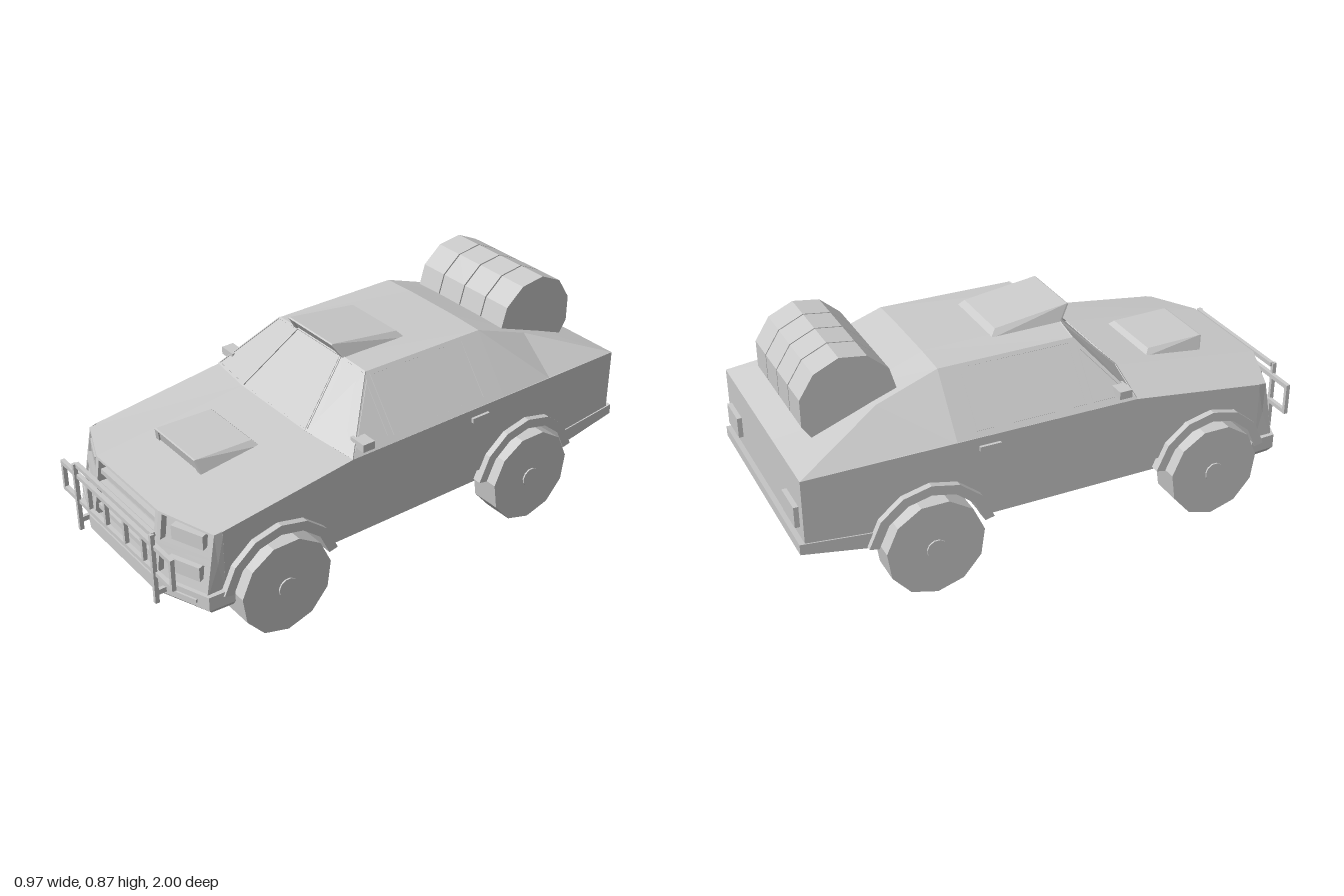
import * as THREE from 'three';
import { ConvexGeometry } from 'three/addons/geometries/ConvexGeometry.js';

const mat = new THREE.MeshStandardMaterial({ color: 0xcccccc, flatShading: true, side: THREE.DoubleSide });
const V = (p) => new THREE.Vector3(...p);

export function createModel() {
  const car = new THREE.Group();
  car.name = 'offRoadPickup';

  const add = (name, geo) => {
    const m = new THREE.Mesh(geo, mat);
    m.name = name;
    car.add(m);
    return m;
  };
  // Box given by its limits on each axis
  const box = (name, x0, x1, y0, y1, z0, z1) =>
    add(name, new THREE.BoxGeometry(Math.abs(x1 - x0), y1 - y0, z1 - z0)
      .translate((x0 + x1) / 2, (y0 + y1) / 2, (z0 + z1) / 2));
  // Side profile [z, y] extruded across x
  const slab = (name, pts, x0, x1) => {
    const shape = new THREE.Shape(pts.map((p) => new THREE.Vector2(...p)));
    const g = new THREE.ExtrudeGeometry(shape, { depth: x1 - x0, bevelEnabled: false });
    return add(name, g.rotateY(-Math.PI / 2).translate(x1, 0, 0));
  };
  // Cylinder lying along x
  const roller = (name, r, x0, x1, y, z, sides, spin) =>
    add(name, new THREE.CylinderGeometry(r, r, x1 - x0, sides).rotateZ(Math.PI / 2).rotateX(spin)
      .translate((x0 + x1) / 2, y, z));
  const fromTris = (tris) => {
    const g = new THREE.BufferGeometry().setFromPoints(tris);
    g.computeVertexNormals();
    return g;
  };
  const mirror = (pts, s) => (s > 0 ? pts : pts.map(([x, y, z]) => [-x, y, z]).reverse());
  // Framed panel: counter-clockwise corners, raised by lift, centre sunk by depth
  const panel = (name, pts, inset, lift, depth) => {
    const c = pts.map(V);
    const n = new THREE.Vector3().crossVectors(c[1].clone().sub(c[0]), c[2].clone().sub(c[0])).normalize();
    const mid = c.reduce((a, p) => a.add(p), new THREE.Vector3()).divideScalar(c.length).addScaledVector(n, lift);
    const outer = c.map((p) => p.clone().addScaledVector(n, lift));
    const inner = outer.map((p) => p.clone().lerp(mid, inset));
    const sunk = inner.map((p) => p.clone().addScaledVector(n, -depth));
    const floor = mid.clone().addScaledVector(n, -depth);
    const tris = [];
    const rings = [c, outer, inner, sunk];
    c.forEach((_, i) => {
      const j = (i + 1) % c.length;
      for (let r = 0; r < 3; r++) {
        const [a, b] = [rings[r], rings[r + 1]];
        tris.push(a[i], a[j], b[j], a[i], b[j], b[i]);
      }
      tris.push(sunk[i], sunk[j], floor);
    });
    return add(name, fromTris(tris));
  };

  // Lower body with the wheel arches cut out
  const wheelZ = [0.6, -0.53];
  const arc = (zc, r, n = 7) => Array.from({ length: n }, (_, i) => {
    const a = THREE.MathUtils.degToRad(12 + (156 * i) / (n - 1));
    return [zc + r * Math.cos(a), 0.18 + r * Math.sin(a)];
  });
  slab('lowerBody', [
    [-0.98, 0.55], [0.28, 0.545], [0.815, 0.474], [0.815, 0.222],
    ...arc(wheelZ[0], 0.205), [0.39, 0.27], [-0.32, 0.27],
    ...arc(wheelZ[1], 0.205), [-0.98, 0.27],
  ], -0.425, 0.425);
  box('sill', -0.415, 0.415, 0.22, 0.27, -0.31, 0.385);
  slab('rearBumper', [[-0.74, 0.22], [-1, 0.27], [-1, 0.31], [-0.74, 0.28]], -0.43, 0.43);

  // Hood, cabin and sloping deck: rows of belt, shoulder and crown points
  const rows = [
    [[0.42, 0.47, 0.845], [0.42, 0.47, 0.845], [0.21, 0.487, 0.93]],
    [[0.425, 0.545, 0.28], [0.425, 0.545, 0.28], [0.2, 0.565, 0.32]],
    [[0.425, 0.545, 0.1], [0.26, 0.757, 0.1], [0.13, 0.77, 0.11]],
    [[0.425, 0.545, -0.42], [0.265, 0.757, -0.42], [0.13, 0.762, -0.42]],
    [[0.425, 0.545, -0.65], [0.27, 0.675, -0.65], [0.13, 0.678, -0.65]],
    [[0.425, 0.55, -0.98], [0.425, 0.55, -0.98], [0.13, 0.55, -0.98]],
  ].map((h) => [...h, ...mirror(h, -1)].map(V));
  const skin = [];
  for (let r = 0; r < rows.length - 1; r++) {
    for (let i = 0; i < 5; i++) {
      const [a, b, c, d] = [rows[r][i], rows[r][i + 1], rows[r + 1][i + 1], rows[r + 1][i]];
      for (const t of [[a, d, b], [b, d, c]]) {
        if (new THREE.Triangle(...t).getArea() > 1e-6) skin.push(t[0], t[2], t[1]);
      }
    }
  }
  add('upperBody', fromTris(skin));

  // Windscreen and side glass
  const onSide = (z, y) => [0.425 - (0.165 * (y - 0.545)) / 0.212, y, z];
  panel('windscreen', [[-0.2, 0.565, 0.32], [0.2, 0.565, 0.32], [0.13, 0.77, 0.11], [-0.13, 0.77, 0.11]], 0.04, 0.005, 0.004);
  for (const s of [1, -1]) {
    panel('windscreenSide', mirror([[0.2, 0.565, 0.32], [0.425, 0.545, 0.28], [0.26, 0.757, 0.1], [0.13, 0.77, 0.11]], s), 0.06, 0.004, 0.003);
    panel('sideWindow', mirror([onSide(0.09, 0.565), onSide(-0.34, 0.565), onSide(-0.34, 0.748), onSide(0.09, 0.748)], s), 0.05, 0.004, 0.003);
    panel('quarterWindow', mirror([onSide(0.26, 0.565), onSide(0.11, 0.565), onSide(0.11, 0.735)], s), 0.12, 0.004, 0.003);
    box('mirror', s * 0.37, s * 0.443, 0.57, 0.6, 0.2, 0.25);
    box('doorHandle', s * 0.42, s * 0.436, 0.497, 0.515, -0.34, -0.26);
    box('tailLight', s * 0.26, s * 0.385, 0.35, 0.43, -0.998, -0.975);
  }

  // Nose: sunk grille, paired lamp recesses and cheeks
  panel('grilleFrame', [[-0.215, 0.25, 0.965], [0.215, 0.25, 0.965], [0.21, 0.487, 0.93], [-0.21, 0.487, 0.93]], 0.08, 0, 0.035);
  for (const [y, h] of [[0.29, 0.02], [0.33, 0.02], [0.38, 0.02], [0.43, 0.02]]) {
    const z = 0.965 - ((y - 0.25) * 0.035) / 0.237;
    box('grilleSlat', -0.2, 0.2, y - h / 2, y + h / 2, z - 0.035, z - 0.012);
  }
  const inn = (y) => [0.21 + (0.487 - y) * 0.021, y, 0.93 + (0.487 - y) * 0.148];
  const out = (y) => [0.42 + (0.47 - y) * 0.023, y, 0.845 + (0.47 - y) * 0.182];
  for (const s of [1, -1]) {
    for (const [name, y0, y1] of [['lowerLamp', 0.25, 0.355], ['upperLamp', 0.375, 0.487]]) {
      const top = Math.min(y1, 0.47);
      panel(name + 'Recess', mirror([inn(y0), out(y0), out(top), inn(y1)], s), 0.14, 0, 0.03);
      // lamp set inside the recess
      const ym = (y0 + top) / 2;
      const lamp = add(name, new THREE.BoxGeometry(0.13, 0.055, 0.03));
      lamp.position.set(s * 0.315, ym, (inn(ym)[2] + out(ym)[2]) / 2 - 0.02);
      lamp.rotation.y = s * 0.38;
    }
    panel('lampDivider', mirror([inn(0.355), out(0.355), out(0.375), inn(0.375)], s), 0.5, 0, 0);
    panel('noseCheek', mirror([[0.425, 0.22, 0.89], [0.425, 0.22, 0.81], [0.425, 0.474, 0.81], [0.42, 0.47, 0.845]], s), 0.5, 0, 0);
  }

  // Swept front bumper with slots
  const plan = [[0.445, 0.79], [0.44, 0.89], [0.22, 0.975], [-0.22, 0.975], [-0.44, 0.89], [-0.445, 0.79]];
  const bumper = plan.flatMap(([x, z]) => [
    new THREE.Vector3(x, 0.245, z), new THREE.Vector3(x, 0.19, z), new THREE.Vector3(x * 0.97, 0.17, z - (z > 0.8 ? 0.015 : 0)),
  ]);
  add('frontBumper', new ConvexGeometry(bumper));
  for (const s of [1, -1]) {
    const slot = add('bumperSlot', new THREE.BoxGeometry(0.085, 0.014, 0.01));
    slot.position.set(s * 0.355, 0.215, 0.925);
    slot.rotation.y = s * 0.369;
  }

  // Bull bar
  const bar = (x0, x1, y0, y1, z = 0.984) => box('bullBar', x0, x1, y0, y1, z - 0.008, z + 0.008);
  bar(-0.265, 0.265, 0.435, 0.452);
  bar(-0.38, 0.38, 0.39, 0.407);
  bar(-0.38, 0.38, 0.282, 0.298);
  for (const s of [1, -1]) {
    bar(s * 0.259, s * 0.273, 0.168, 0.45, 0.992);
    bar(s * 0.366, s * 0.38, 0.282, 0.407);
    bar(s * 0.182, s * 0.196, 0.282, 0.407);
    bar(s * 0.06, s * 0.074, 0.282, 0.407);
    box('bullBarBracket', s * 0.259, s * 0.273, 0.2, 0.22, 0.92, 0.99);
  }

  // Air scoops on hood and roof: [front top, front bottom, back] as [z, y]
  const scoop = (name, [zt, yt], [zf, yf], [zb, yb], [zk, yk]) => {
    const pts = [];
    for (const s of [1, -1]) {
      pts.push([s * 0.13, yt, zt], [s * 0.15, yf, zf], [s * 0.13, yb, zb], [s * 0.15, yk, zk]);
    }
    add(name, new ConvexGeometry(pts.map(V)));
    panel(name + 'Mouth', [[-0.15, yf, zf], [0.15, yf, zf], [0.13, yt, zt], [-0.13, yt, zt]], 0.16, 0.006, 0.005);
  };
  scoop('hoodScoop', [0.73, 0.567], [0.715, 0.51], [0.5, 0.562], [0.48, 0.54]);
  scoop('roofScoop', [0.148, 0.825], [0.11, 0.768], [-0.14, 0.787], [-0.165, 0.76]);

  // Wheels, fender flares and axles
  const flat = Math.PI / 11;
  for (const z of wheelZ) {
    roller('axle', 0.035, -0.37, 0.37, 0.18, z, 8, Math.PI / 8);
    for (const s of [1, -1]) {
      const [a, b] = s > 0 ? [0.36, 0.478] : [-0.478, -0.36];
      roller('wheel', 0.185, a, b, 0.183, z, 11, Math.PI / 2);
      roller('hub', 0.038, s > 0 ? 0.47 : -0.484, s > 0 ? 0.484 : -0.47, 0.18, z, 11, Math.PI / 2);
      slab('fenderFlare', [...arc(z, 0.24), ...arc(z, 0.203).reverse()], s > 0 ? 0.4 : -0.45, s > 0 ? 0.45 : -0.4);
    }
  }

  // Row of four spare tyres on the deck
  for (let i = 0; i < 4; i++) {
    const x = -0.242 + i * 0.1215;
    roller('spareTyre', 0.178, x, x + 0.116, 0.69, -0.735, 11, 0);
  }
  roller('spareCore', 0.168, -0.23, 0.23, 0.69, -0.735, 11, 0);

  return car;
}
